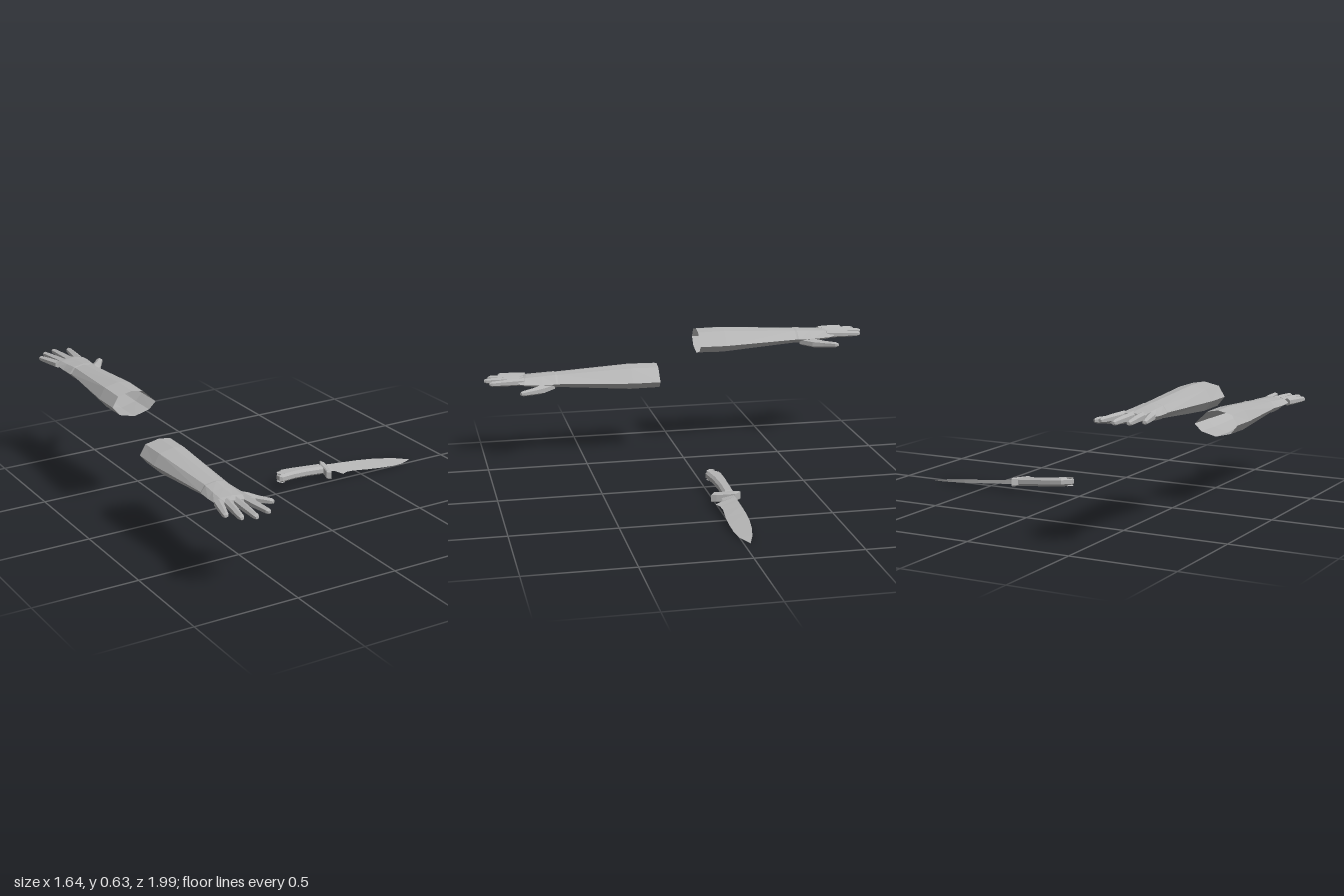
import * as THREE from 'three';

const grey = new THREE.MeshStandardMaterial({ color: 0xb4b4b4, side: THREE.DoubleSide });
grey.name = 'plain grey';

// Faceted skin through rings of points, each ring counter-clockwise about the path
function loft(rings, capStart = false, capEnd = false) {
  const n = rings[0].length, index = [];
  for (let i = 0; i < rings.length - 1; i++) {
    for (let j = 0; j < n; j++) {
      const a = i * n + j, b = i * n + (j + 1) % n;
      index.push(a, b, b + n, a, b + n, a + n);
    }
  }
  const last = (rings.length - 1) * n;
  for (let j = 1; j < n - 1; j++) {
    if (capStart) index.push(0, j + 1, j);
    if (capEnd) index.push(last, last + j, last + j + 1);
  }
  const g = new THREE.BufferGeometry();
  g.setAttribute('position', new THREE.Float32BufferAttribute(rings.flat(2), 3));
  g.setIndex(index);
  return facet(g);
}

function facet(g) {
  const flat = g.index ? g.toNonIndexed() : g;
  flat.computeVertexNormals();
  return flat;
}

function add(parent, name, geometry) {
  const m = new THREE.Mesh(geometry, grey);
  m.name = name;
  parent.add(m);
}

// Six-sided digit along points [x, y, z, half width, half height]
function digit(points) {
  const first = points[0], end = points[points.length - 1];
  const dir = new THREE.Vector2(end[0] - first[0], end[2] - first[2]).normalize();
  return loft(points.map(([x, y, z, w, h]) => {
    const ring = [];
    for (let k = 0; k < 6; k++) {
      const a = (k + 0.5) * Math.PI / 3;
      const s = Math.cos(a) * w;
      ring.push([x + dir.y * s, y + Math.sin(a) * h, z - dir.x * s]);
    }
    return ring;
  }), true, true);
}

const outline = [[0.11, -0.01], [0.045, 0.055], [-0.01, 0.065], [-0.08, 0.05],
  [-0.11, 0], [-0.075, -0.045], [0, -0.065], [0.075, -0.045]];

// Arm section: position along the arm, width and height scale, lift, slant
const armRing = ([z, w, h, lift = 0, slant = 0]) =>
  outline.map(([u, v]) => [u * w, v * h + lift, z + u * w * slant]);

function makeArm(name) {
  const arm = new THREE.Group();
  arm.name = name;
  add(arm, 'forearm', loft([[0.11, 1, 0.96], [0.25, 1, 1], [0.63, 0.7, 0.58, 0.004]].map(armRing)));
  add(arm, 'palm', loft([
    [0.63, 0.7, 0.58, 0.004], [0.64, 0.74, 0.6, 0.004], [0.71, 0.77, 0.52, 0.004],
    [0.785, 0.79, 0.37, 0.008, 0.2], [0.82, 0.72, 0.22, 0.01, 0.15],
  ].map(armRing), false, true));

  // Fingers: base x, base z, tip x, tip z
  const fingers = {
    littleFinger: [-0.076, 0.785, -0.113, 0.92],
    ringFinger: [-0.04, 0.795, -0.068, 0.975],
    middleFinger: [0, 0.8, -0.01, 0.998],
    indexFinger: [0.04, 0.8, 0.062, 0.975],
  };
  for (const [label, [bx, bz, tx, tz]] of Object.entries(fingers)) {
    const at = (f, w, h) => [bx + (tx - bx) * f, 0.011, bz + (tz - bz) * f, w, h];
    add(arm, label, digit([at(0, 0.021, 0.019), at(0.5, 0.018, 0.017), at(0.93, 0.014, 0.013), at(1, 0.008, 0.007)]));
  }
  add(arm, 'thumb', digit([
    [0.045, -0.018, 0.66, 0.026, 0.02], [0.09, -0.022, 0.72, 0.033, 0.023],
    [0.125, -0.022, 0.765, 0.02, 0.018], [0.16, -0.02, 0.815, 0.016, 0.014],
    [0.167, -0.02, 0.828, 0.009, 0.008],
  ]));
  return arm;
}

// Plate drawn in x and z, centred on y = 0
function plate(points, thickness, bevel, hole) {
  const shape = new THREE.Shape(points.map(([x, z]) => new THREE.Vector2(x, z)));
  if (hole) shape.holes.push(new THREE.Path().absarc(hole[0], hole[1], hole[2], 0, Math.PI * 2, true));
  const depth = thickness - 2 * bevel;
  const g = new THREE.ExtrudeGeometry(shape, {
    depth, bevelEnabled: true, bevelThickness: bevel, bevelSize: bevel,
    bevelOffset: -bevel, bevelSegments: 1, curveSegments: 4,
  });
  g.translate(0, 0, -depth / 2);
  g.rotateX(Math.PI / 2);
  return g;
}

function makeKnife() {
  const knife = new THREE.Group();
  knife.name = 'knife';
  // The knife slopes down towards its tip and leans a little sideways
  const lean = new THREE.Matrix4().set(
    1, 0, 0, 0,
    -0.094, 1, -0.1, 0.0745,
    0, 0, 1, 0,
    0, 0, 0, 1);
  const put = (name, g) => add(knife, name, facet(g.applyMatrix4(lean)));

  put('handle', plate([[0.022, -0.03], [0.062, -0.068], [0.12, -0.073], [0.3, -0.077],
    [0.3, -0.028], [0.2, -0.025], [0.12, -0.016], [0.04, 0.002], [0.025, -0.006]],
  0.042, 0.011, [0.042, -0.023, 0.009]));
  put('guard', plate([[0.32, -0.105], [0.333, -0.075], [0.325, -0.04], [0.312, 0.01],
    [0.302, 0.032], [0.282, 0.018], [0.292, -0.02], [0.298, -0.065]], 0.042, 0.005));

  // Blade sections: x, spine z, cutting edge z, half thickness at the spine
  const sections = [[0.31, -0.07, -0.015, 0.011], [0.35, -0.071, -0.012, 0.011],
    [0.375, -0.073, 0.028, 0.01], [0.405, -0.074, 0.012, 0.01], [0.45, -0.076, 0.008, 0.009],
    [0.53, -0.079, 0.015, 0.008], [0.61, -0.077, 0.017, 0.007], [0.69, -0.068, 0.014, 0.005],
    [0.75, -0.055, 0.003, 0.004], [0.818, -0.031, -0.029, 0.001]];
  put('blade', loft(sections.map(([x, spine, edge, t]) =>
    [[x, t, spine], [x, 0, edge], [x, -t, spine]]), true, true));
  return knife;
}

export function createModel() {
  const model = new THREE.Group();
  model.name = 'arms and knife';

  const frontArm = makeArm('frontArm');
  frontArm.position.set(-0.668, 0.4, -0.006);
  frontArm.rotation.y = -0.015;

  const backArm = makeArm('backArm');
  backArm.position.set(-0.695, 0.567, 0);
  backArm.scale.z = -1;

  model.add(frontArm, backArm, makeKnife());
  return model;
}
